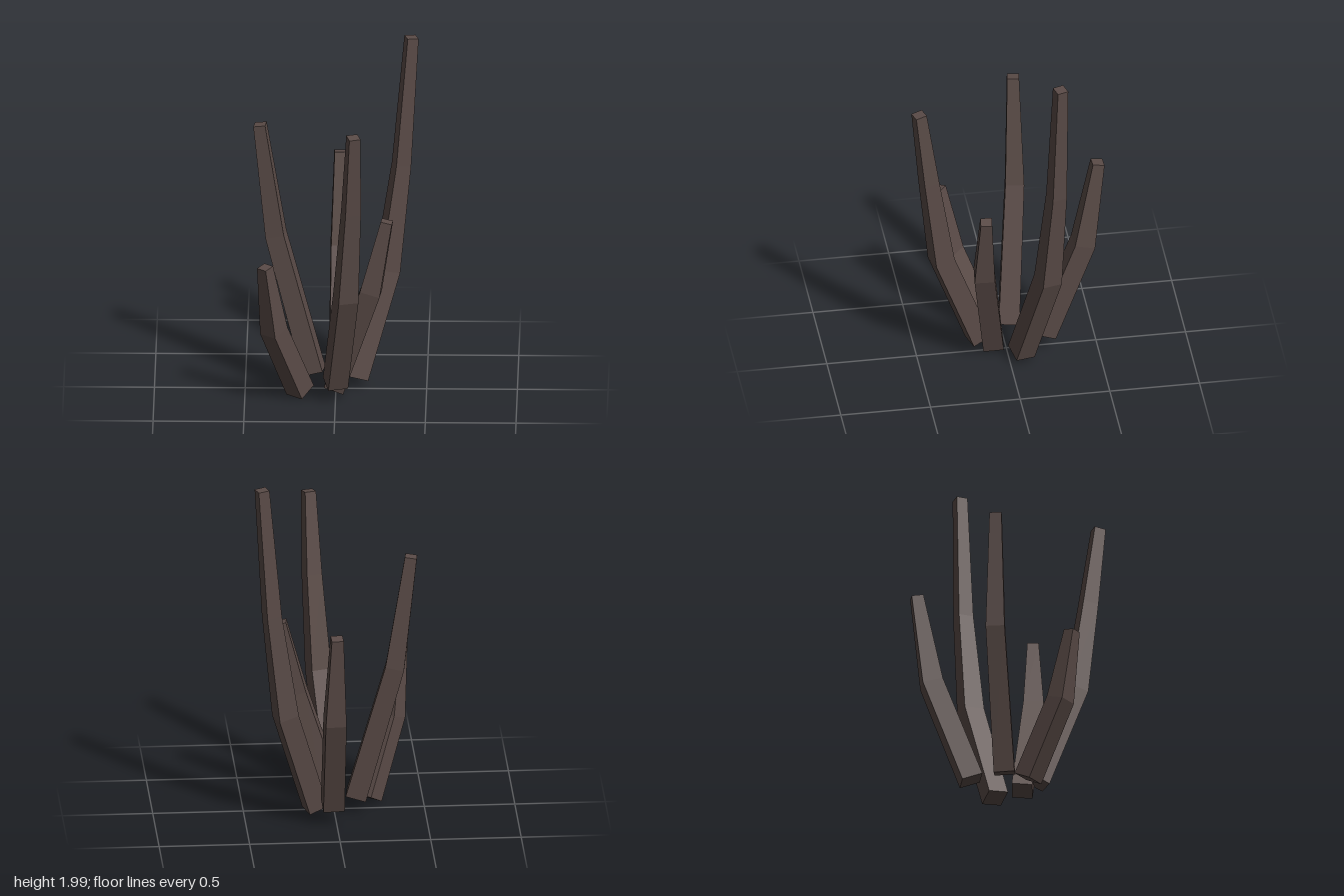
import * as THREE from 'three';

// Each stalk: yaw in degrees, then rings from base to tip as [x, y, z, width]
const STALKS = [
  { name: 'tallBackLeftStalk', yaw: 18, rings: [[0.108, 0.05, -0.068, 0.113], [0.28, 0.64, -0.19, 0.115], [0.358, 1.25, -0.225, 0.085], [0.413, 1.998, -0.239, 0.063]] },
  { name: 'backStalk', yaw: 3, rings: [[0.02, 0.11, -0.207, 0.118], [0.023, 0.69, -0.425, 0.115], [0.017, 1.212, -0.507, 0.066]] },
  { name: 'frontStalk', yaw: 17, rings: [[0, 0.1, 0.156, 0.113], [0.06, 0.69, 0.372, 0.113], [0.09, 1.23, 0.445, 0.088], [0.104, 1.696, 0.502, 0.064]] },
  { name: 'leftStalk', yaw: -6, rings: [[-0.005, 0.045, 0.073, 0.113], [0.195, 0.645, 0.152, 0.113], [0.283, 1.06, 0.155, 0.063]] },
  { name: 'shortFrontRightStalk', yaw: -40, rings: [[-0.196, 0.032, 0.091, 0.113], [-0.338, 0.45, 0.26, 0.11], [-0.386, 0.85, 0.32, 0.063]] },
  { name: 'rightStalk', yaw: -7, rings: [[-0.122, 0.095, -0.033, 0.115], [-0.332, 0.88, -0.098, 0.104], [-0.42, 1.53, -0.103, 0.066]] },
];

const UP = new THREE.Vector3(0, 1, 0);

// Bends a segmented box so that each row of corners lies on its ring
function stalkGeometry(rings, yaw) {
  const n = rings.length - 1;
  const centres = rings.map(([x, y, z]) => new THREE.Vector3(x, y, z));
  const turn = new THREE.Quaternion().setFromAxisAngle(UP, THREE.MathUtils.degToRad(yaw));
  const tilts = centres.map((c, i) => {
    const dir = new THREE.Vector3();
    if (i > 0) dir.add(c.clone().sub(centres[i - 1]).normalize());
    if (i < n) dir.add(centres[i + 1].clone().sub(c).normalize());
    return new THREE.Quaternion().setFromUnitVectors(UP, dir.normalize()).multiply(turn);
  });
  const geometry = new THREE.BoxGeometry(1, 1, 1, 1, n, 1).toNonIndexed();
  const pos = geometry.attributes.position;
  const v = new THREE.Vector3();
  for (let i = 0; i < pos.count; i++) {
    v.fromBufferAttribute(pos, i);
    const row = Math.round((v.y + 0.5) * n);
    v.setY(0).multiplyScalar(rings[row][3]).applyQuaternion(tilts[row]).add(centres[row]);
    pos.setXYZ(i, v.x, v.y, v.z);
  }
  geometry.computeVertexNormals();
  return geometry;
}

export function createModel() {
  const group = new THREE.Group();
  group.name = 'stalkCluster';
  const bark = new THREE.MeshStandardMaterial({ color: 0x5a4b47, flatShading: true });
  for (const { name, yaw, rings } of STALKS) {
    const stalk = new THREE.Mesh(stalkGeometry(rings, yaw), bark);
    stalk.name = name;
    group.add(stalk);
  }
  return group;
}
